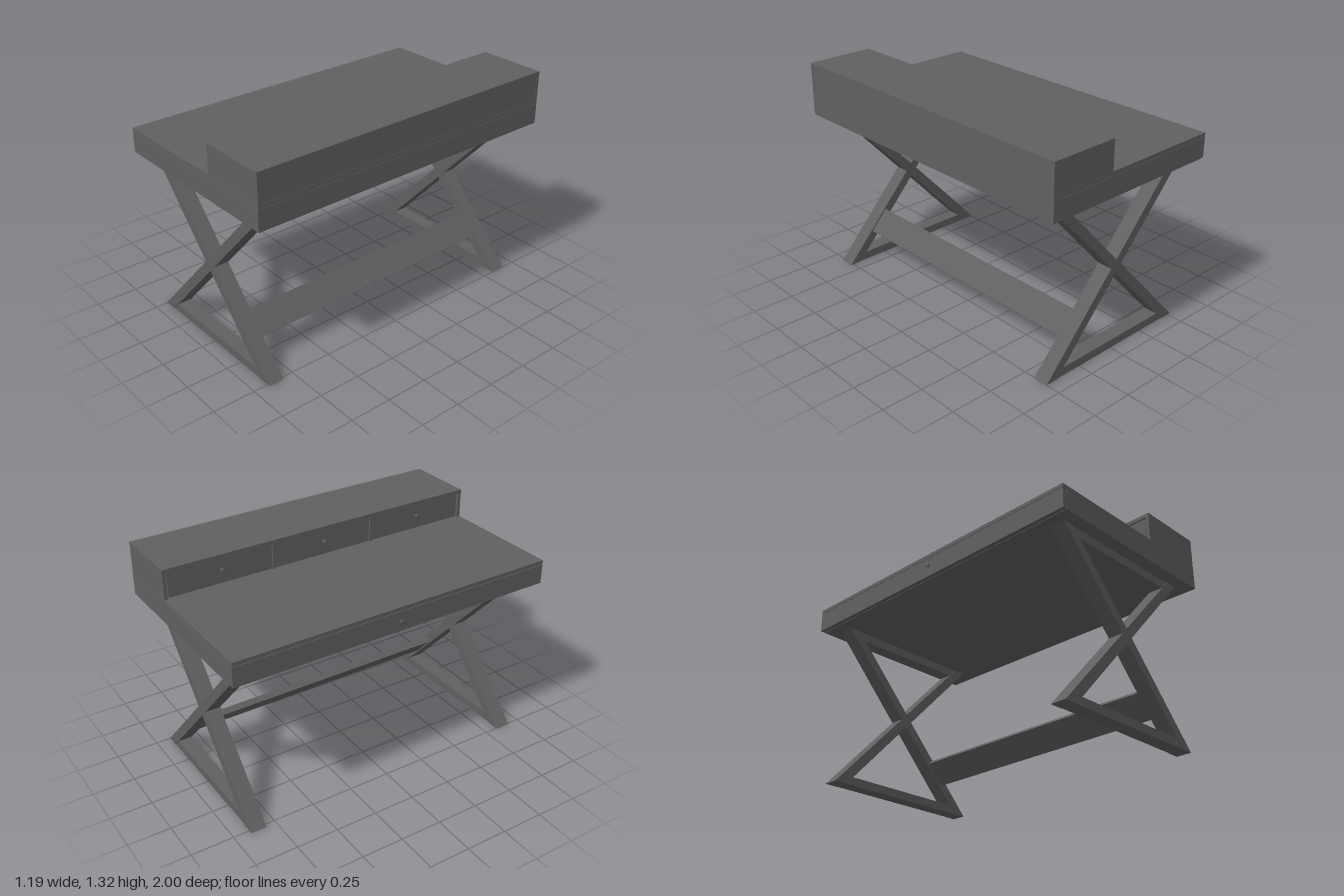
import * as THREE from 'three';

const material = new THREE.MeshStandardMaterial({ color: 0x606060, flatShading: true });
const smooth = new THREE.MeshStandardMaterial({ color: 0x606060 });

export function createModel() {
  const desk = new THREE.Group();
  desk.name = 'writingDesk';

  // Box given by its limits on each axis
  function box(name, x0, x1, y0, y1, z0, z1) {
    const mesh = new THREE.Mesh(new THREE.BoxGeometry(x1 - x0, y1 - y0, z1 - z0), material);
    mesh.position.set((x0 + x1) / 2, (y0 + y1) / 2, (z0 + z1) / 2);
    mesh.name = name;
    desk.add(mesh);
  }

  // Outline in x/y pushed along z from z0 to z1
  function prism(name, points, z0, z1) {
    const shape = new THREE.Shape(points.map(([x, y]) => new THREE.Vector2(x, y)));
    const geometry = new THREE.ExtrudeGeometry(shape, { depth: z1 - z0, bevelEnabled: false });
    geometry.translate(0, 0, z0);
    const mesh = new THREE.Mesh(geometry, material);
    mesh.name = name;
    desk.add(mesh);
  }

  // Small turned knob pointing towards -x from a drawer face
  function knob(name, x, y, z, length, radius) {
    const profile = [[0, 0], [radius * 0.5, 0], [radius * 0.4, length * 0.5],
      [radius, length * 0.65], [radius, length * 0.9], [0, length]];
    const geometry = new THREE.LatheGeometry(profile.map(([r, h]) => new THREE.Vector2(r, h)), 16);
    const mesh = new THREE.Mesh(geometry, smooth);
    mesh.rotation.z = Math.PI / 2;
    mesh.position.set(x, y, z);
    mesh.name = name;
    desk.add(mesh);
  }

  const left = -0.577, right = 0.581, end = 0.993;

  // Desk case, wide drawer and work surface
  box('deskCase', -0.55, right, 0.995, 1.114, -end, end);
  box('caseSeam', -0.55, right - 0.002, 1.113, 1.118, -end + 0.002, end - 0.002);
  box('wideDrawerFront', left, -0.551, 0.997, 1.114, -end, end);
  box('workSurface', left, right, 1.117, 1.14, -end, end);
  knob('wideDrawerKnob', left, 1.06, 0, 0.02, 0.014);

  // Raised drawer cabinet along the back
  const face = 0.165;
  box('cabinetTop', face, right, 1.293, 1.315, -end, end);
  box('cabinetBack', right - 0.02, right - 0.002, 1.139, 1.294, -end + 0.01, end - 0.01);
  for (const s of [-1, 1]) {
    const z = s * (end - 0.011);
    box('cabinetSide', face, right, 1.139, 1.294, z - 0.01, z + 0.01);
    box('cabinetDivider', face, right - 0.02, 1.139, 1.294, s * 0.325 - 0.008, s * 0.325 + 0.008);
  }
  for (const z of [-0.65, 0, 0.65]) {
    box('smallDrawer', face + 0.007, right - 0.03, 1.143, 1.29, z - 0.315, z + 0.315);
    knob('smallDrawerKnob', face + 0.007, 1.225, z, 0.027, 0.014);
  }

  // Crossed leg frames at both ends
  const top = 0.996;
  for (const z0 of [0.826, -0.908]) {
    const z1 = z0 + 0.093;
    prism('legRising', [[-0.515, 0], [-0.435, 0], [0.485, top], [0.41, top]], z0, z1);
    prism('legFalling', [[0.435, 0], [0.51, 0], [-0.41, top], [-0.485, top]], z0 + 0.001, z1 - 0.001);
    prism('bottomRail', [[-0.45, 0], [0.45, 0], [0.41, 0.05], [-0.41, 0.05]], z0 + 0.004, z1 - 0.004);
    prism('topRail', [[-0.38, 0.943], [0.38, 0.943], [0.43, top], [-0.43, top]], z0 + 0.004, z1 - 0.004);
  }

  // Slanted stretcher board between the rear lower legs
  prism('stretcher', [[0.303, 0.155], [0.33, 0.18], [0.219, 0.3], [0.192, 0.275]], -0.82, 0.83);

  // The desk stands turned very slightly
  desk.rotation.y = 0.01;
  const model = new THREE.Group();
  model.name = 'desk';
  model.add(desk);
  return model;
}
